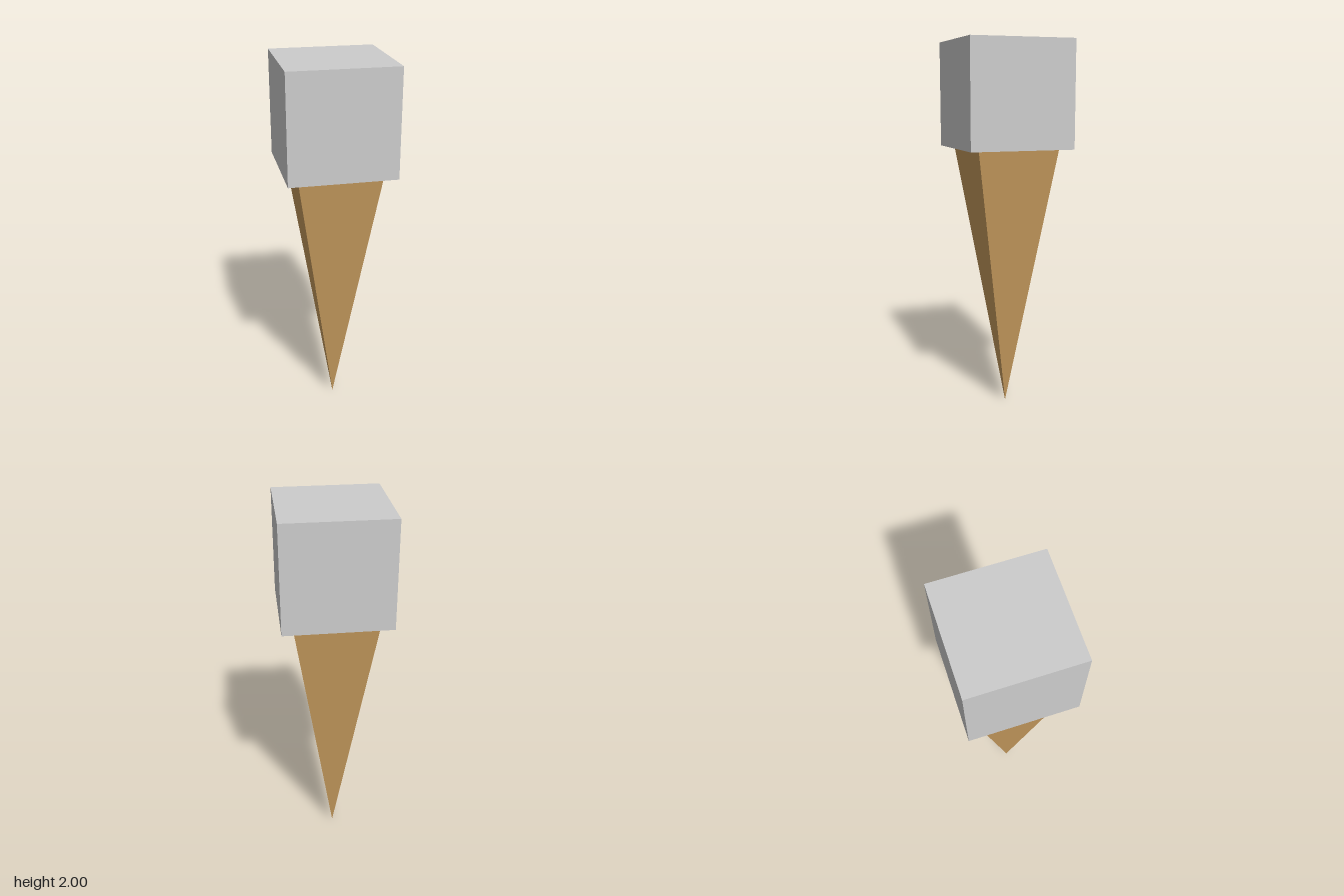
import * as THREE from 'three';

export function createModel() {
  const model = new THREE.Group();
  const grey = new THREE.MeshStandardMaterial({ color: 0xcccccc });
  grey.name = 'light grey';
  const tan = new THREE.MeshStandardMaterial({ color: 0xc89c5e });
  tan.name = 'wafer tan';

  const side = 0.56;           // edge of the cube
  const rim = 2 - side;        // height where spike and cube meet
  const halfWidth = 0.22;      // half the spike's width at the rim

  // Cube on top
  const cube = new THREE.Mesh(new THREE.BoxGeometry(side, side, side), grey);
  cube.name = 'cubeTop';
  cube.position.y = rim + side / 2;

  // Four-sided spike, point down, faces square to the axes
  const spikeGeometry = new THREE.ConeGeometry(halfWidth * Math.SQRT2, rim, 4)
    .rotateY(Math.PI / 4)
    .rotateX(Math.PI)
    .toNonIndexed();
  spikeGeometry.computeVertexNormals();
  const spike = new THREE.Mesh(spikeGeometry, tan);
  spike.name = 'pyramidCone';
  spike.position.y = rim / 2;

  model.add(cube, spike);
  return model;
}
